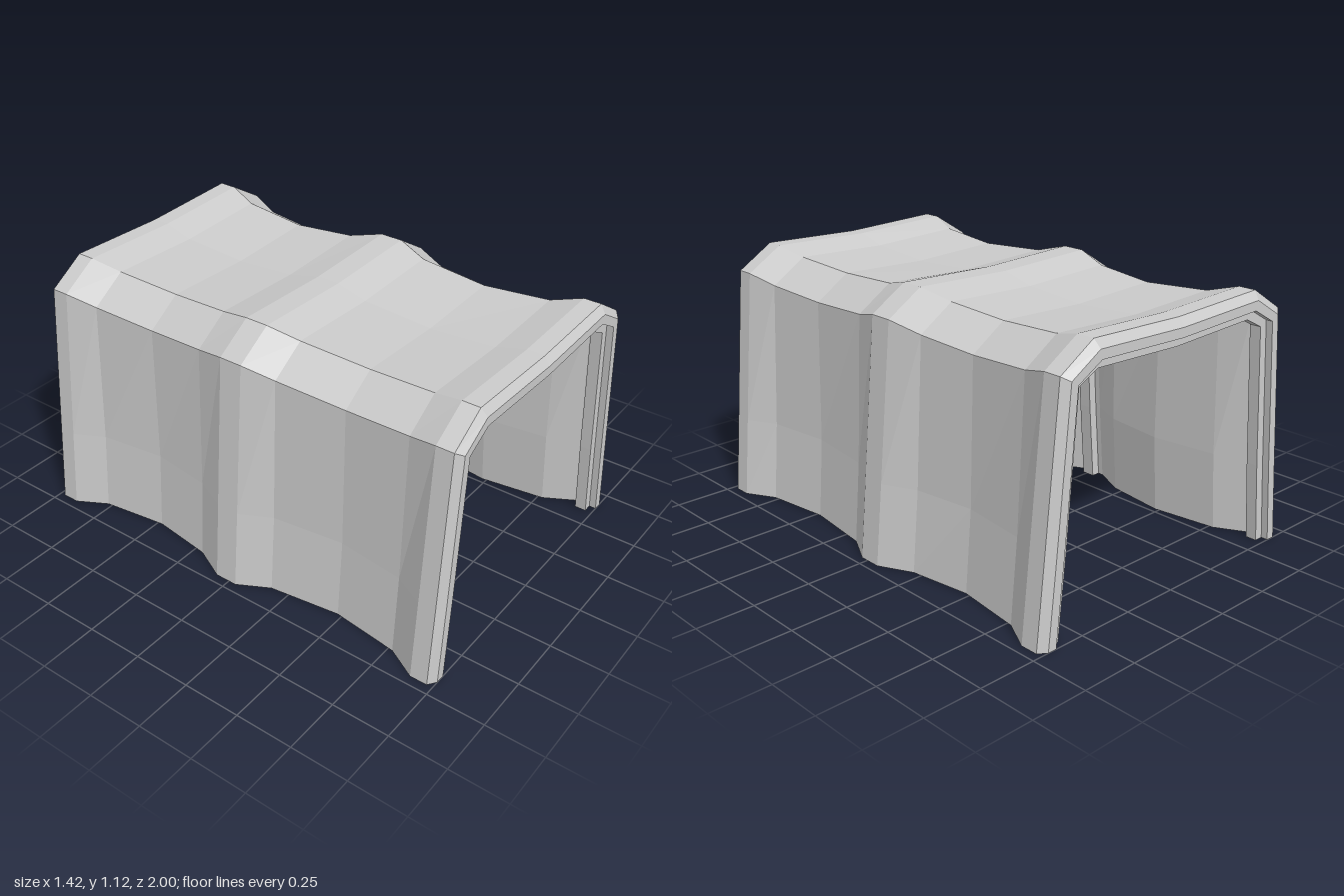
import * as THREE from 'three';

// Half profile [x, y] from foot to ridge: at a rib, and in the hollow between ribs
const RIB = [[0.71, 0], [0.677, 0.35], [0.615, 1.015], [0.455, 1.115], [0, 1.1]];
const HOLLOW = [[0.6, 0], [0.573, 0.35], [0.557, 0.96], [0.405, 1.06], [0, 1.045]];
// Inward step through the wall thickness at each profile point
const INWARD = [[-0.075, 0], [-0.075, 0], [-0.065, -0.04], [-0.02, -0.075], [0, -0.075]];

// Outer waves along the length: [z, hollow amount]
const WAVES = [[0.9, 0], [0.77, 0.65], [0.48, 1], [0.17, 0.65], [0.035, 0],
  [-0.065, 0], [-0.21, 0.65], [-0.48, 1], [-0.77, 0.65], [-0.9, 0]];

// Full arch from the +x foot over the top to the -x foot; depth 0 = outside, 1 = inside
function arch({ z, hollow, depth }) {
  const half = RIB.map(([x, y], i) => new THREE.Vector3(
    THREE.MathUtils.lerp(x, HOLLOW[i][0], hollow) + INWARD[i][0] * depth,
    THREE.MathUtils.lerp(y, HOLLOW[i][1], hollow) + INWARD[i][1] * depth, z));
  const mirrored = half.slice(0, -1).reverse().map(p => new THREE.Vector3(-p.x, p.y, p.z));
  return [...half, ...mirrored];
}

// Raised inner rib between two z positions, listed back to front
const innerRib = (z0, z1) => [[z0, 1], [z0, 1.53], [z1, 1.53], [z1, 1]]
  .map(([z, depth]) => ({ z, hollow: 0, depth }));

function shellGeometry() {
  const wave = depth => WAVES.map(([z, hollow]) => ({ z, hollow, depth }));
  const inner = wave(1).reverse();
  // Closed loop: outside front to back, then inside back to front
  const stations = [
    { z: 1, hollow: 0, depth: 0.47 }, { z: 0.975, hollow: 0, depth: 0 },
    ...wave(0),
    { z: -0.975, hollow: 0, depth: 0 }, { z: -1, hollow: 0, depth: 0.47 },
    { z: -1, hollow: 0, depth: 1 }, ...innerRib(-0.97, -0.92),
    ...inner.slice(0, 5), ...innerRib(-0.04, 0.02), ...inner.slice(5),
    ...innerRib(0.92, 0.97), { z: 1, hollow: 0, depth: 1 },
  ];
  const rings = stations.map(arch);
  const positions = [];
  const tri = (...points) => points.forEach(p => positions.push(p.x, p.y, p.z));

  rings.forEach((ring, i) => {
    const next = rings[(i + 1) % rings.length];
    for (let j = 0; j < ring.length - 1; j++) {
      tri(ring[j], next[j], next[j + 1]);
      tri(ring[j], next[j + 1], ring[j + 1]);
    }
  });

  // Flat soles under both walls, facing down
  for (const j of [0, rings[0].length - 1]) {
    const foot = rings.map(ring => ring[j]);
    const outline = foot.map(p => new THREE.Vector2(p.x, p.z));
    for (const [a, b, c] of THREE.ShapeUtils.triangulateShape(outline, [])) {
      const [A, B, C] = [foot[a], foot[b], foot[c]];
      const up = (B.z - A.z) * (C.x - A.x) - (B.x - A.x) * (C.z - A.z);
      if (up < 0) tri(A, B, C);
      else tri(A, C, B);
    }
  }

  const geometry = new THREE.BufferGeometry();
  geometry.setAttribute('position', new THREE.Float32BufferAttribute(positions, 3));
  geometry.computeVertexNormals();
  return geometry;
}

export function createModel() {
  const model = new THREE.Group();
  model.name = 'ribbedShelter';
  const material = new THREE.MeshStandardMaterial({ color: 0xcccccc, flatShading: true });
  const shell = new THREE.Mesh(shellGeometry(), material);
  shell.name = 'ribbedShell';
  model.add(shell);
  return model;
}
